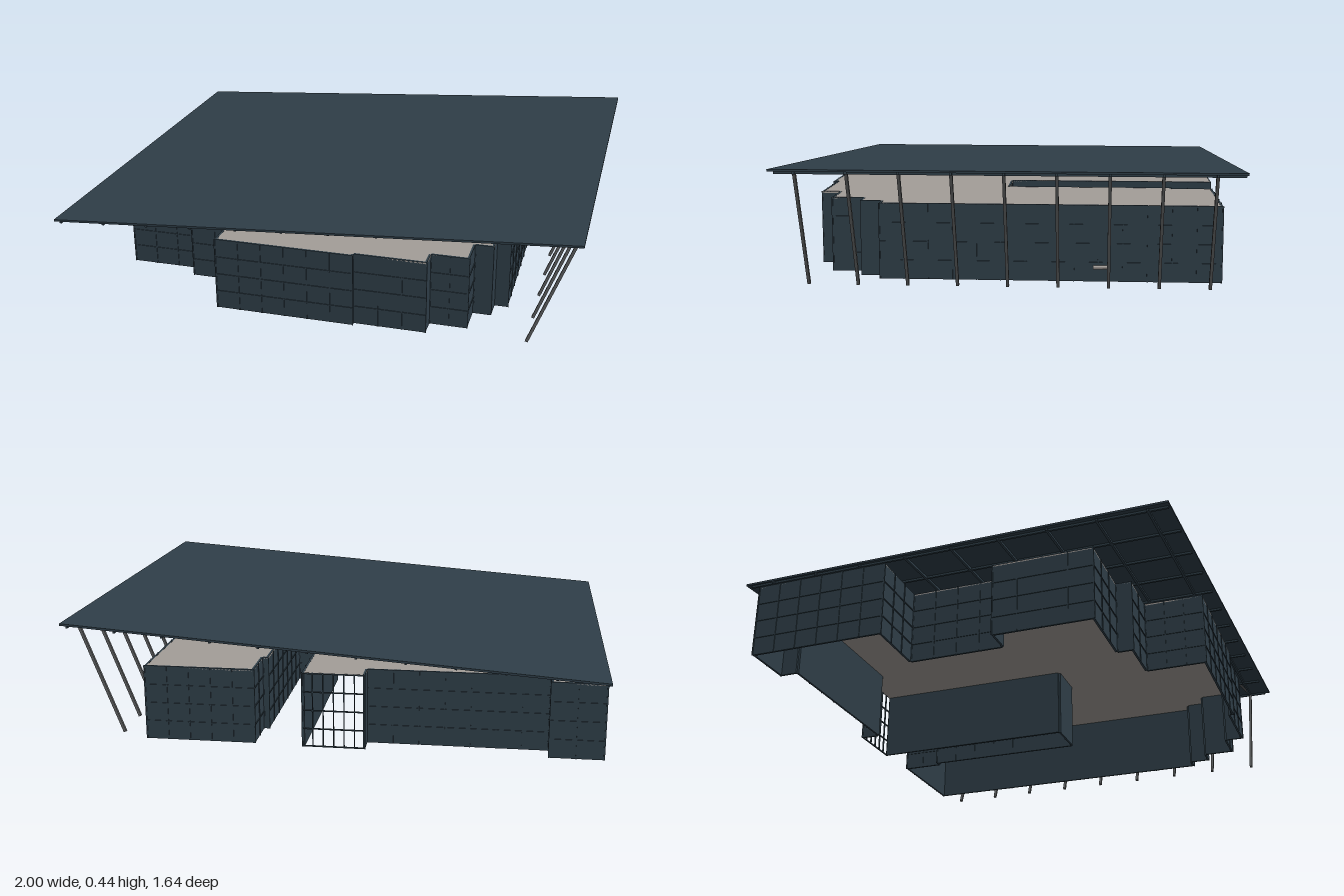
import * as THREE from 'three';

const mat = (name, color) => {
  const m = new THREE.MeshStandardMaterial({ color });
  m.name = name;
  return m;
};

const WALL_H = 0.283;
const roofTop = (x) => 0.3725 + 0.0725 * x; // pitched roof height

// Building plan as x, z corners, with an entry court cut in from the back
const PLAN = [
  [-0.975, -0.77], [-0.78, -0.77], [-0.78, -0.7], [-0.12, -0.7], [-0.12, -0.77],
  [0.11, -0.77], [0.11, 0.04], [0.27, 0.04], [0.27, -0.6], [0.29, -0.6],
  [0.29, -0.76], [0.7, -0.76], [0.7, 0.49], [0.65, 0.49], [0.65, 0.57],
  [0.58, 0.57], [0.58, 0.69], [0.44, 0.69], [0.44, 0.76], [0.17, 0.76],
  [0.17, 0.775], [-0.36, 0.775], [-0.36, 0.55], [-0.55, 0.55], [-0.55, 0.49],
  [-0.83, 0.49], [-0.83, 0.11], [-0.73, 0.11], [-0.73, -0.25], [-0.975, -0.25],
];
const GLAZED_EDGE = 4; // open lattice beside the entry court

// Flat slab from plan corners, bottom at y = 0
function slab(points, thickness) {
  const shape = new THREE.Shape(points.map(([x, z]) => new THREE.Vector2(x, -z)));
  const geo = new THREE.ExtrudeGeometry(shape, { depth: thickness, bevelEnabled: false });
  return geo.rotateX(-Math.PI / 2);
}

export function createModel() {
  const model = new THREE.Group();
  model.name = 'pavilion';
  const cladding = mat('slateBlue', 0x2f3e48);
  const steel = mat('steelGrey', 0x5c5e5f);
  const stone = mat('warmGrey', 0xa39d98);

  const add = (parent, name, geo, material, x = 0, y = 0, z = 0) => {
    const mesh = new THREE.Mesh(geo, material);
    mesh.name = name;
    mesh.position.set(x, y, z);
    parent.add(mesh);
    return mesh;
  };
  const box = (w, h, d) => new THREE.BoxGeometry(w, h, d);

  // Square bar between two points
  const bar = (parent, name, a, b, width, material) => {
    const p = new THREE.Vector3(...a), q = new THREE.Vector3(...b);
    const dir = q.clone().sub(p);
    const mesh = add(parent, name, box(width, dir.length(), width), material);
    mesh.position.copy(p).add(q).multiplyScalar(0.5);
    mesh.quaternion.setFromUnitVectors(new THREE.Vector3(0, 1, 0), dir.normalize());
  };

  // Walls: one panel per plan edge, with slim ribs on the outside
  const walls = new THREE.Group();
  walls.name = 'walls';
  model.add(walls);
  PLAN.forEach(([x0, z0], i) => {
    const [x1, z1] = PLAN[(i + 1) % PLAN.length];
    const len = Math.hypot(x1 - x0, z1 - z0);
    const side = new THREE.Group();
    side.name = i === GLAZED_EDGE ? 'entryLattice' : 'wall';
    side.position.set((x0 + x1) / 2, 0, (z0 + z1) / 2);
    side.rotation.y = Math.atan2(z0 - z1, x1 - x0);
    walls.add(side);
    const open = i === GLAZED_EDGE;
    if (!open) add(side, 'wallPanel', box(len, WALL_H, 0.008), cladding, 0, WALL_H / 2, 0.004);
    if (len < 0.12) return;
    const n = Math.round(len / (open ? 0.037 : 0.09));
    const depth = open ? 0.006 : 0.003;
    for (let k = 0; k <= n; k++) {
      add(side, 'mullion', box(0.004, WALL_H, depth), cladding, -len / 2 + (len * k) / n, WALL_H / 2, -0.0015);
    }
    for (const y of open ? [0.003, 0.07, 0.14, 0.21, 0.28] : [0.07, 0.14, 0.21]) {
      add(side, 'transom', box(len, 0.004, depth), cladding, 0, y, -0.0015);
    }
  });

  // Flat ceiling over the rooms
  add(model, 'ceiling', slab(PLAN, 0.006), stone, 0, WALL_H - 0.0065, 0);

  // Pitched roof deck, sheared so it rises toward +x
  const deck = slab([[-0.985, -0.825], [0.995, -0.81], [0.985, 0.82], [-1, 0.805]], 0.008);
  const pos = deck.attributes.position;
  for (let i = 0; i < pos.count; i++) {
    pos.setY(i, pos.getY(i) - 0.008 + roofTop(pos.getX(i)));
  }
  deck.computeVertexNormals();
  add(model, 'roofDeck', deck, cladding);

  // Roof framing below the deck
  const frame = new THREE.Group();
  frame.name = 'roofFrame';
  model.add(frame);
  const under = (x, z) => [x, roofTop(x) - 0.0125, z];
  const bays = Array.from({ length: 9 }, (_, i) => 0.73 - 0.18 * i);
  bays.forEach((z, i) => {
    bar(frame, 'rafter', under(-0.985, z), under(0.98, z), 0.009, cladding);
    if (i === bays.length - 1) return;
    // Diagonal bracing in each bay
    bar(frame, 'brace', under(0.96, z), under(0.3, z - 0.09), 0.007, steel);
    bar(frame, 'brace', under(0.3, z - 0.09), under(0.96, z - 0.18), 0.007, steel);
  });
  for (let i = 0; i < 12; i++) {
    const x = -0.975 + i * 0.1768;
    bar(frame, 'purlin', under(x, -0.805), under(x, 0.8), 0.008, cladding);
  }

  // Leaning columns along the high eave
  bays.forEach((z) => bar(model, 'column', [0.803, 0.003, z], [0.965, 0.428, z], 0.011, steel));

  // Small ledge on the side wall
  add(model, 'ledge', box(0.04, 0.005, 0.05), stone, 0.72, 0.057, -0.32);

  return model;
}
